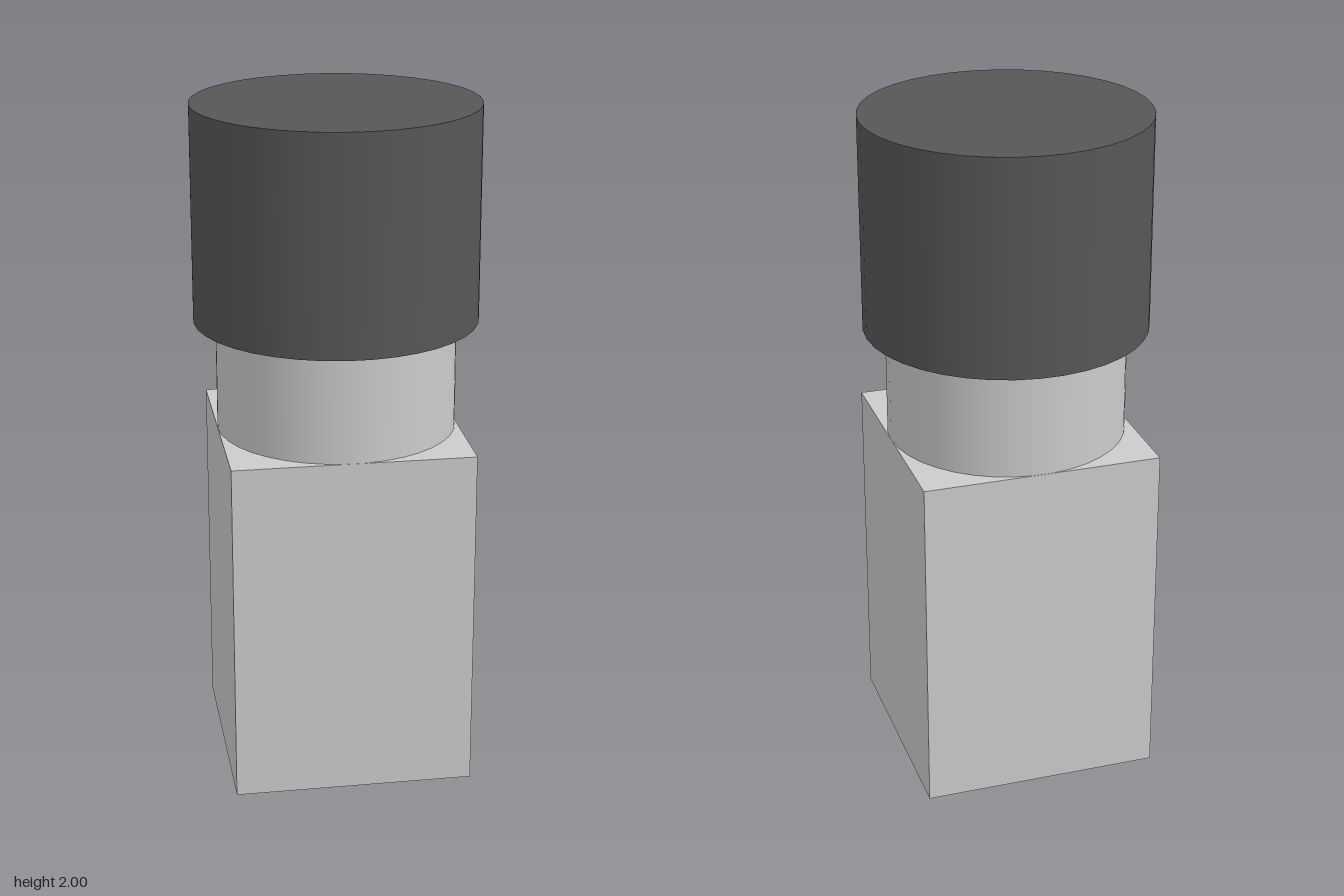
import * as THREE from 'three';

export function createModel() {
  const group = new THREE.Group();
  const grey = new THREE.MeshStandardMaterial({ color: 0xcccccc });
  const dark = new THREE.MeshStandardMaterial({ color: 0x575757 });

  // Adds a part spanning the heights y0 to y1
  const add = (name, geometry, material, y0, y1) => {
    const mesh = new THREE.Mesh(geometry, material);
    mesh.name = name;
    mesh.position.y = (y0 + y1) / 2;
    group.add(mesh);
  };
  // Upright cylinder with a corner on the x axis
  const round = (r, h) => new THREE.CylinderGeometry(r, r, h, 38).rotateY(Math.PI / 2);

  const half = 0.354, bodyTop = 1.034, neckTop = 1.363, top = 2;

  // Square body
  add('body', new THREE.BoxGeometry(half * 2, bodyTop, half * 2), grey, 0, bodyTop);
  // Round neck, as wide as the body
  add('neck', round(half, neckTop - bodyTop), grey, bodyTop, neckTop);
  // Wider dark cap
  add('cap', round(0.419, top - neckTop), dark, neckTop, top);

  return group;
}
